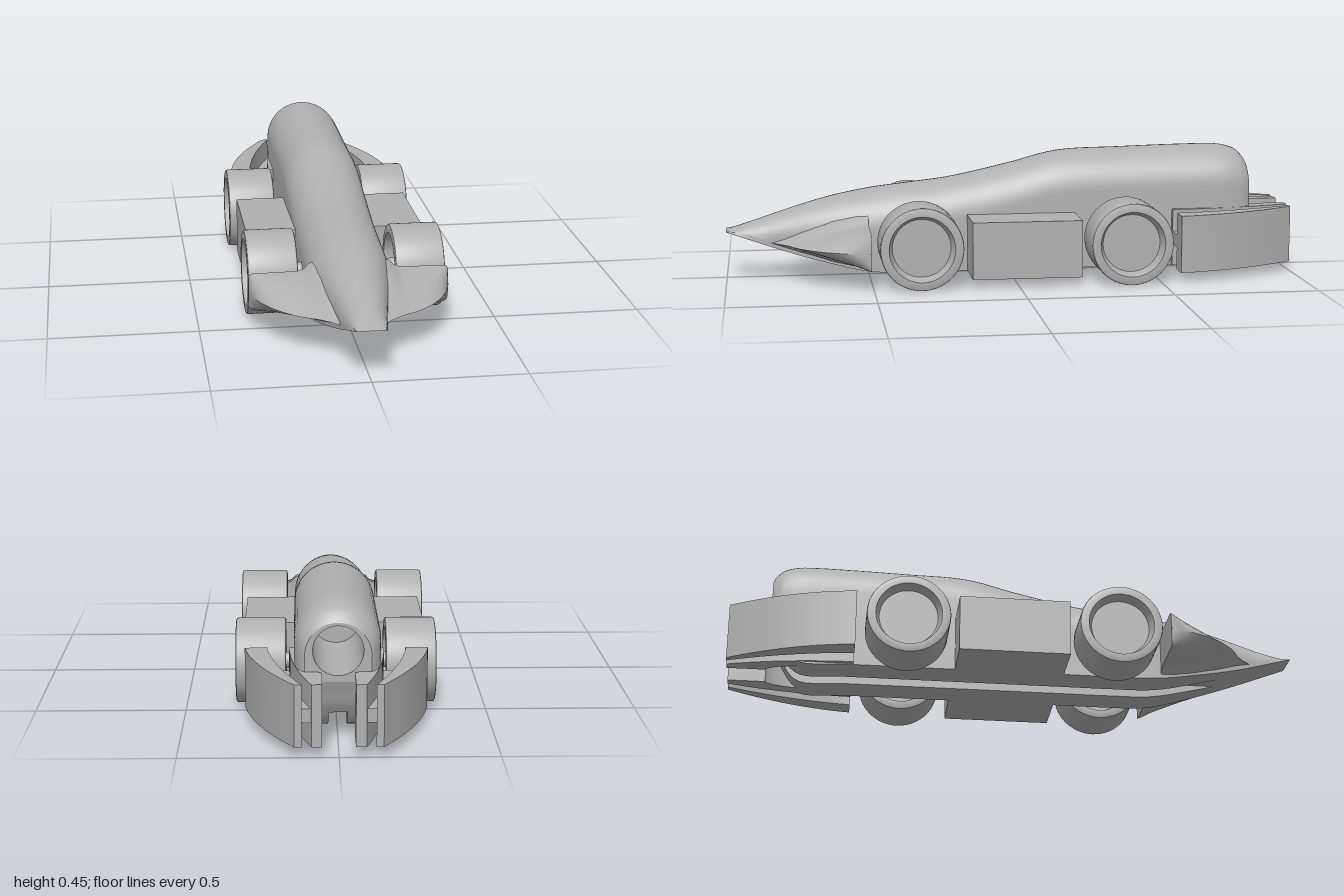
import * as THREE from 'three';
import { toCreasedNormals } from 'three/addons/utils/BufferGeometryUtils.js';

const grey = new THREE.MeshStandardMaterial({ color: 0xb0b0b0 });
grey.name = 'plain grey';

// Skin closed rings of [x, y, z] points, in order
function loft(rings, crease) {
  const n = rings[0].length, index = [];
  for (let i = 0; i < rings.length - 1; i++) {
    for (let j = 0; j < n; j++) {
      const k = (j + 1) % n;
      const a = i * n + j, b = i * n + k, c = b + n, d = a + n;
      index.push(a, d, b, b, d, c);
    }
  }
  const g = new THREE.BufferGeometry();
  g.setAttribute('position', new THREE.Float32BufferAttribute(rings.flat(2), 3));
  g.setIndex(index);
  return toCreasedNormals(g, crease);
}

// Body cross-section: arched top, flat underside with a guide slot
function bodySection(top, w, bottom) {
  const h = Math.min(w, 0.85 * (top - bottom)), slot = Math.max(bottom, 0.085);
  const pts = [];
  for (let i = 0; i <= 24; i++) {
    const a = (Math.PI * i) / 24;
    pts.push([w * Math.cos(a), top - h + h * Math.sin(a)]);
  }
  pts.push([-w, bottom], [-0.03, bottom], [-0.03, slot], [0.03, slot], [0.03, bottom], [w, bottom]);
  return pts;
}

// Plan outline pulled up into an upright slab; outline uses (x, -z)
function slab(shape, y, height) {
  const g = new THREE.ExtrudeGeometry(shape, { depth: height, bevelEnabled: false, curveSegments: 16 });
  g.rotateX(-Math.PI / 2).translate(0, y, 0);
  return toCreasedNormals(g, 0.5);
}

export function createModel() {
  const model = new THREE.Group();
  const add = (name, geometry, x = 0, y = 0, z = 0) => {
    const mesh = new THREE.Mesh(geometry, grey);
    mesh.name = name;
    mesh.position.set(x, y, z);
    model.add(mesh);
  };

  // Body stations: z, top, half width, underside
  const stations = [
    [1, 0.17, 0.05, 0.17], [0.8, 0.236, 0.082, 0.105], [0.65, 0.28, 0.112, 0.065],
    [0.5, 0.31, 0.136, 0.034], [0.35, 0.328, 0.138, 0.03], [0.2, 0.347, 0.138, 0.03],
    [0, 0.39, 0.138, 0.03], [-0.18, 0.433, 0.138, 0.03], [-0.4, 0.441, 0.138, 0.03],
    [-0.6, 0.446, 0.138, 0.03], [-0.75, 0.446, 0.138, 0.03], [-0.815, 0.432, 0.129, 0.1],
    [-0.845, 0.408, 0.116, 0.17], [-0.857, 0.39, 0.105, 0.2],
  ];
  const topCurve = new THREE.CatmullRomCurve3(
    stations.map(([z, t, w]) => new THREE.Vector3(w, t, z)), false, 'catmullrom');
  const lowCurve = new THREE.CatmullRomCurve3(
    stations.map(([z, , , b]) => new THREE.Vector3(0, b, z)), false, 'catmullrom');
  const rings = [], steps = (stations.length - 1) * 5;
  for (let i = 0; i <= steps; i++) {
    const p = topCurve.getPoint(i / steps), b = lowCurve.getPoint(i / steps).y;
    rings.push(bodySection(p.y, p.x, b).map(([x, y]) => [x, y, p.z]));
  }
  add('body', loft(rings, 0.7));

  // Tail face with a round bore
  const boreY = 0.3, boreR = 0.08, tailZ = -0.857;
  const tail = new THREE.Shape();
  bodySection(0.39, 0.105, 0.2).slice(0, 25).forEach(([x, y], i) => (i ? tail.lineTo(x, y) : tail.moveTo(x, y)));
  tail.lineTo(-0.105, 0.2);
  tail.lineTo(0.105, 0.2);
  tail.holes.push(new THREE.Path().absarc(0, boreY, boreR, 0, Math.PI * 2, true));
  add('tailFace', new THREE.ShapeGeometry(tail, 20).rotateY(Math.PI), 0, 0, tailZ);
  const bore = new THREE.LatheGeometry(
    [[boreR, 0], [boreR, -0.4], [0, -0.4]].map((p) => new THREE.Vector2(...p)), 40);
  add('bore', toCreasedNormals(bore.rotateX(-Math.PI / 2), 0.6), 0, boreY, tailZ);

  // Wheel profile: radius, offset along the axle
  const wheelProfile = [
    [0, -0.05], [0.1, -0.05], [0.113, -0.084], [0.136, -0.084], [0.141, -0.082], [0.143, -0.076],
    [0.143, 0.076], [0.141, 0.082], [0.136, 0.084], [0.113, 0.084], [0.1, 0.05], [0, 0.05],
  ].map((p) => new THREE.Vector2(...p));

  // Front wing stations: x, leading edge z, top, underside
  const wing = [
    [0.05, 0.87, 0.23, 0.06], [0.1, 0.815, 0.235, 0.045], [0.135, 0.787, 0.225, 0.05],
    [0.15, 0.778, 0.207, 0.064], [0.17, 0.768, 0.2, 0.07], [0.2, 0.748, 0.199, 0.07],
    [0.24, 0.71, 0.198, 0.07], [0.275, 0.665, 0.198, 0.07], [0.3, 0.62, 0.198, 0.07],
    [0.32, 0.573, 0.197, 0.07], [0.33, 0.54, 0.195, 0.073], [0.335, 0.52, 0.185, 0.083],
    [0.335, 0.515, 0.14, 0.135],
  ];
  const back = 0.508, leadY = 0.132;

  for (const s of [1, -1]) {
    const side = s > 0 ? 'left' : 'right';

    // Wedge-shaped front wing
    const wingRings = wing.map(([x, lead, top, low]) => {
      const at = (f, y) => [s * x, y, lead + (back - lead) * f];
      const up = (f) => leadY + (top - leadY) * f, down = (f) => leadY + (low - leadY) * f;
      const ring = [at(0, leadY), at(0.3, up(0.42)), at(0.6, up(0.78)), at(0.85, up(0.96)), at(1, top),
        at(1, low), at(0.85, down(0.96)), at(0.6, down(0.75)), at(0.3, down(0.4))];
      return s > 0 ? ring : ring.reverse();
    });
    add(`${side}FrontWing`, loft(wingRings, 0.6));

    // Side pod
    add(`${side}SidePod`, new THREE.BoxGeometry(0.2, 0.198, 0.38), s * 0.21, 0.129, -0.027);

    // Wheels and axles
    for (const [end, z] of [['Front', 0.337], ['Rear', -0.39]]) {
      const turn = (-s * Math.PI) / 2;
      const tyre = new THREE.LatheGeometry(wheelProfile, 56).rotateZ(turn);
      add(`${side}${end}Wheel`, toCreasedNormals(tyre, 0.5), s * 0.249, 0.143, z);
      add(`${side}${end}Axle`, new THREE.CylinderGeometry(0.026, 0.026, 0.12, 24).rotateZ(turn), s * 0.16, 0.143, z);
    }

    // Rear wing: outer fin, inner fin and the web that joins them to the body
    const outer = new THREE.Shape();
    outer.moveTo(s * 0.3, 0.567);
    outer.quadraticCurveTo(s * 0.275, 0.78, s * 0.138, 1);
    outer.lineTo(s * 0.115, 1);
    outer.quadraticCurveTo(s * 0.2, 0.8, s * 0.225, 0.59);
    outer.lineTo(s * 0.225, 0.567);
    add(`${side}RearOuterFin`, slab(outer, 0.033, 0.2));

    const inner = new THREE.Shape();
    inner.moveTo(s * 0.155, 0.567);
    inner.quadraticCurveTo(s * 0.15, 0.8, s * 0.085, 1);
    inner.lineTo(s * 0.052, 1);
    inner.lineTo(s * 0.052, 0.87);
    inner.quadraticCurveTo(s * 0.1, 0.85, s * 0.11, 0.567);
    add(`${side}RearInnerFin`, slab(inner, 0.033, 0.2));

    const web = new THREE.Shape();
    web.moveTo(s * 0.1, 0.567);
    web.lineTo(s * 0.27, 0.567);
    web.quadraticCurveTo(s * 0.24, 0.78, s * 0.125, 0.995);
    web.lineTo(s * 0.065, 0.995);
    web.lineTo(s * 0.065, 0.85);
    add(`${side}RearWeb`, slab(web, 0.11, 0.045));
  }
  return model;
}
